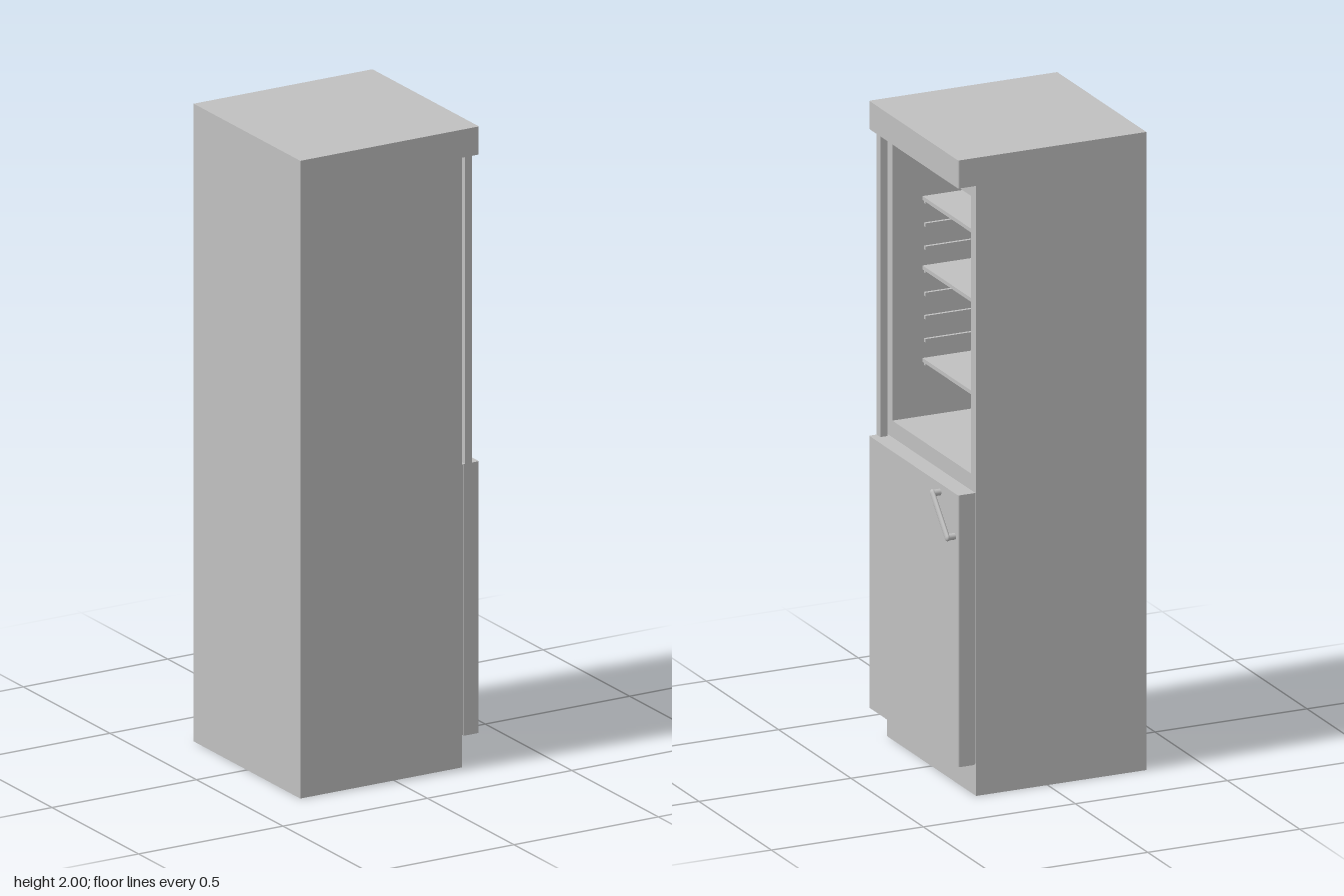
import * as THREE from 'three';

export function createModel() {
  const model = new THREE.Group();
  model.name = 'refrigerator';
  const grey = new THREE.MeshStandardMaterial({ color: 0xc0c0c0 });
  grey.name = 'light grey';

  const BACK = -0.325, FACE = 0.235, FRONT = 0.294, HALF = 0.308, INNER = 0.271;

  const add = (name, geometry, parent = model) => {
    const mesh = new THREE.Mesh(geometry, grey);
    mesh.name = name;
    parent.add(mesh);
    return mesh;
  };
  // Box given by its limits on each axis
  const box = (name, x0, x1, y0, y1, z0, z1, parent) => {
    const mesh = add(name, new THREE.BoxGeometry(x1 - x0, y1 - y0, z1 - z0), parent);
    mesh.position.set((x0 + x1) / 2, (y0 + y1) / 2, (z0 + z1) / 2);
    return mesh;
  };
  const group = (name) => {
    const g = new THREE.Group();
    g.name = name;
    model.add(g);
    return g;
  };
  const rectangle = (path, u0, u1, v0, v1) =>
    path.moveTo(u0, v0).lineTo(u1, v0).lineTo(u1, v1).lineTo(u0, v1).closePath();

  // Cabinet: solid shell with the open compartment, extruded towards the front
  const shell = rectangle(new THREE.Shape(), -HALF, HALF, 0, 2);
  shell.holes.push(rectangle(new THREE.Path(), -INNER, INNER, 1.0, 1.87));
  const linerBack = -0.27;
  const cabinet = add('cabinet',
    new THREE.ExtrudeGeometry(shell, { depth: FACE - linerBack, bevelEnabled: false }));
  cabinet.rotation.y = Math.PI / 2;
  cabinet.position.x = linerBack;
  box('backPanel', BACK, linerBack, 0, 2, -HALF, HALF);

  // Front panels with softly rounded upright edges
  const frontPanel = (name, x0, y0, y1) => {
    const r = 0.006;
    const plan = new THREE.Shape();
    plan.moveTo(x0, -HALF).lineTo(FRONT - r, -HALF);
    plan.quadraticCurveTo(FRONT, -HALF, FRONT, -HALF + r);
    plan.lineTo(FRONT, HALF - r);
    plan.quadraticCurveTo(FRONT, HALF, FRONT - r, HALF);
    plan.lineTo(x0, HALF).closePath();
    const mesh = add(name,
      new THREE.ExtrudeGeometry(plan, { depth: y1 - y0, bevelEnabled: false, curveSegments: 4 }));
    mesh.rotation.x = -Math.PI / 2;
    mesh.position.y = y0;
  };
  frontPanel('topFascia', FACE, 1.912, 2);
  frontPanel('lowerDoor', FACE + 0.005, 0.098, 0.95);
  box('doorSeal', FACE, FACE + 0.005, 0.1, 0.948, -HALF + 0.004, HALF - 0.004);

  // Upright rail standing clear of the cabinet on the hinge side
  box('hingePost', 0.246, 0.269, 0.95, 1.912, 0.282, HALF);

  // Shelf supports on both side walls
  const supports = group('shelfSupports');
  for (let i = 0; i < 8; i++) {
    const y = 1.165 + i * 0.0725;
    for (const side of [-1, 1]) {
      const a = side * INNER, b = side * (INNER - 0.01);
      box('shelfSupport', -0.25, 0.13, y - 0.006, y + 0.006, Math.min(a, b), Math.max(a, b), supports);
    }
  }

  // Shelves resting on the supports
  const shelves = group('shelves');
  for (const i of [0, 4, 7]) {
    const y = 1.171 + i * 0.0725;
    box('shelf', linerBack, 0.137, y, y + 0.012, -0.268, 0.268, shelves);
  }

  // Slanted door handle: a rounded bar on two posts
  const handle = group('handle');
  const upper = new THREE.Vector2(-0.182, 0.923), lower = new THREE.Vector2(-0.283, 0.815);
  const length = upper.distanceTo(lower), radius = 0.012;
  const bar = add('handleBar', new THREE.CapsuleGeometry(radius, length, 8, 16), handle);
  bar.geometry.rotateX(Math.atan2(upper.x - lower.x, upper.y - lower.y));
  bar.scale.x = 0.55;
  bar.position.set(0.3184, (upper.y + lower.y) / 2, (upper.x + lower.x) / 2);
  for (const end of [upper, lower]) {
    const post = add('handlePost', new THREE.CylinderGeometry(0.01, 0.01, 0.03, 16), handle);
    post.rotation.z = Math.PI / 2;
    post.position.set(0.305, end.y, end.x);
  }

  return model;
}
